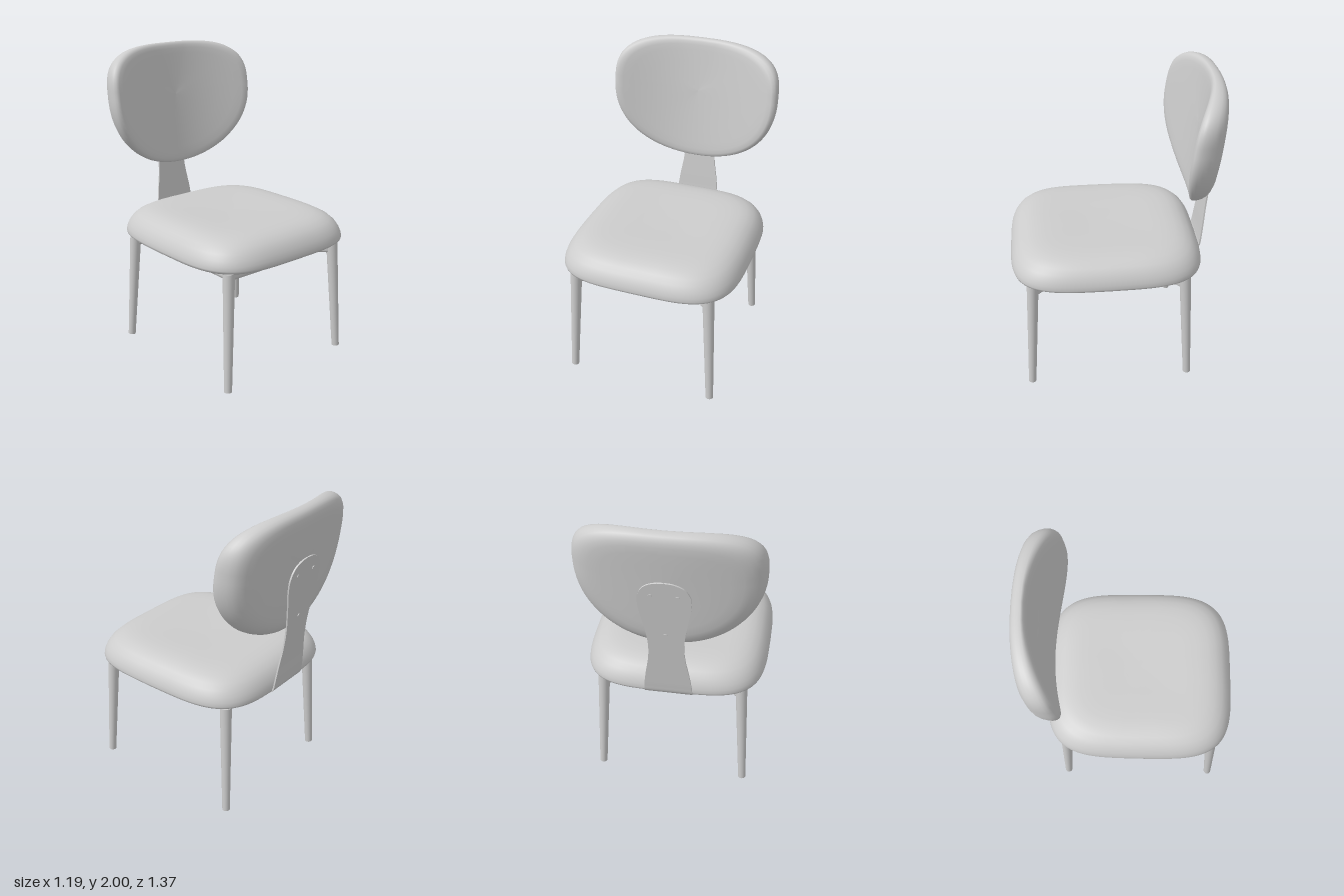
import * as THREE from 'three';
import { toCreasedNormals } from 'three/addons/utils/BufferGeometryUtils.js';
import { RoundedBoxGeometry } from 'three/addons/geometries/RoundedBoxGeometry.js';

// Skin a list of closed rings (each an array of [x, y, z]) into one surface
function loft(rings) {
  const n = rings[0].length, index = [];
  for (let i = 0; i < rings.length - 1; i++) {
    for (let j = 0; j < n; j++) {
      const k = (j + 1) % n, a = i * n, b = a + n;
      index.push(a + j, b + j, a + k, a + k, b + j, b + k);
    }
  }
  const geo = new THREE.BufferGeometry();
  geo.setAttribute('position', new THREE.Float32BufferAttribute(rings.flat(2), 3));
  geo.setIndex(index);
  geo.computeVertexNormals();
  return geo;
}

const SIDES = 96;
const angles = Array.from({ length: SIDES }, (_, i) => (i / SIDES) * Math.PI * 2);
const power = (v, n) => Math.sign(v) * Math.abs(v) ** (2 / n);

// Seat cushion: squarish rings, flat below, domed above with a slight dip
function seatGeometry() {
  const profile = [
    [0.001, 0.778], [0.5, 0.778], [0.93, 0.778], [0.975, 0.782], [0.995, 0.792], [1, 0.805],
    [0.993, 0.83], [0.975, 0.86], [0.94, 0.895], [0.89, 0.925], [0.82, 0.948], [0.74, 0.96],
    [0.64, 0.966], [0.5, 0.966], [0.3, 0.962], [0.15, 0.96], [0.001, 0.959],
  ];
  return loft(profile.map(([s, y]) => angles.map((a) => {
    const z = power(Math.sin(a), 3.9);
    const x = power(Math.cos(a), 3.9) * (1 + 0.015 * Math.min(z, 0));
    return [0.597 * s * x, y, 0.057 + 0.628 * s * z];
  })));
}

// Backrest: rounded outline, curved round the sitter, fuller towards the rear
function backrestGeometry() {
  const outline = (a) => {
    const up = Math.sin(a) > 0, n = up ? 3.3 : 2.1;
    return [0.573 * power(Math.cos(a), n), 1.68 + (up ? 0.32 : 0.5) * power(Math.sin(a), n)];
  };
  const front = (x, y) => -0.485 - 0.14 * (y - 1.18) + 0.5 * x * x;
  const back = (x, y) => -0.61 - 0.107 * (y - 1.2) + 0.2 * x * x;
  // [outline scale, drop from front face to seam, blend from seam to back face]
  const steps = [
    [0.001, 0, 0], [0.2, 0, 0], [0.4, 0, 0], [0.6, 0, 0], [0.78, 0, 0], [0.88, 0.03, 0],
    [0.94, 0.15, 0], [0.975, 0.4, 0], [0.992, 0.7, 0], [1, 1, 0], [0.997, 1, 0.2],
    [0.985, 1, 0.42], [0.96, 1, 0.63], [0.92, 1, 0.79], [0.86, 1, 0.91], [0.78, 1, 0.98],
    [0.66, 1, 1], [0.45, 1, 1], [0.2, 1, 1], [0.001, 1, 1],
  ];
  return loft(steps.map(([s, drop, blend]) => angles.map((a) => {
    const [ox, oy] = outline(a);
    const x = ox * s, y = 1.65 + (oy - 1.65) * s;
    const seam = front(x, y) - drop * (0.02 + 0.16 * x * x);
    return [x, y, THREE.MathUtils.lerp(seam, back(x, y), blend)];
  })));
}

// Depth of the leaning support plate at a given height
const plateZ = (y) => -0.58 - 0.115 * (y - 0.82);

// Support plate: a bent strip whose half width follows the x of the curve
function plateGeometry() {
  const upright = [
    [0.001, 1.697], [0.06, 1.69], [0.12, 1.66], [0.155, 1.6], [0.157, 1.52], [0.13, 1.37],
    [0.11, 1.22], [0.114, 1.1], [0.135, 0.97], [0.15, 0.85],
  ].map(([w, y]) => new THREE.Vector3(w, y, plateZ(y)));
  const foot = [[0.806, -0.575], [0.782, -0.555], [0.773, -0.52], [0.773, -0.43], [0.773, -0.33]]
    .map(([y, z]) => new THREE.Vector3(0.152, y, z));
  const curve = new THREE.CatmullRomCurve3([...upright, ...foot]);
  const rings = [];
  for (let i = 0; i <= 110; i++) {
    const p = curve.getPoint(i / 110), t = curve.getTangent(i / 110);
    const k = 0.005 / Math.hypot(t.y, t.z), ny = t.z * k, nz = -t.y * k;
    rings.push([
      [p.x, p.y + ny, p.z + nz], [p.x, p.y - ny, p.z - nz],
      [-p.x, p.y - ny, p.z - nz], [-p.x, p.y + ny, p.z + nz],
    ]);
  }
  const end = curve.getPoint(1);
  rings.push(Array.from({ length: 4 }, () => [0, end.y, end.z]));
  return toCreasedNormals(loft(rings), 0.6);
}

export function createModel() {
  const model = new THREE.Group();
  model.name = 'chair';
  const grey = new THREE.MeshStandardMaterial({ color: 0xcccccc });
  grey.name = 'light grey';

  const add = (name, geometry, x = 0, y = 0, z = 0) => {
    const mesh = new THREE.Mesh(geometry, grey);
    mesh.name = name;
    mesh.position.set(x, y, z);
    model.add(mesh);
    return mesh;
  };

  add('seatCushion', seatGeometry());
  add('backrest', backrestGeometry());
  add('supportPlate', plateGeometry());

  // Screws on the rear of the support plate
  for (const [x, y] of [[-0.08, 1.6], [0.08, 1.6], [0, 1.3]]) {
    const screw = add('screw', new THREE.CylinderGeometry(0.012, 0.012, 0.016, 16), x, y, plateZ(y) - 0.001);
    screw.rotation.x = Math.PI / 2 - 0.115;
  }

  // Legs: tapered and splayed, each tied to the frame by a diagonal stub
  const up = new THREE.Vector3(0, 1, 0);
  const railX = 0.375, railFront = 0.47, railBack = -0.36;
  for (const side of [-1, 1]) {
    for (const [place, topZ, footZ, railZ] of [['front', 0.547, 0.585, railFront], ['back', -0.433, -0.47, railBack]]) {
      const foot = new THREE.Vector3(side * 0.488, 0, footZ);
      const top = new THREE.Vector3(side * 0.45, 0.772, topZ);
      const axis = top.clone().sub(foot);
      const leg = add(place + 'Leg', new THREE.CylinderGeometry(0.038, 0.025, axis.length(), 28));
      leg.position.copy(foot).addScaledVector(axis, 0.5);
      leg.quaternion.setFromUnitVectors(up, axis.normalize());

      const dx = top.x - side * railX, dz = topZ - railZ;
      const stub = add('cornerStub', new RoundedBoxGeometry(0.05, 0.09, Math.hypot(dx, dz) + 0.04, 4, 0.02),
        side * railX + dx / 2, 0.727, railZ + dz / 2);
      stub.rotation.y = Math.atan2(dx, dz);
    }
    // Side rail of the frame
    add('sideRail', new RoundedBoxGeometry(0.06, 0.094, railFront - railBack + 0.06, 4, 0.026),
      side * railX, 0.727, (railFront + railBack) / 2);
  }

  // Front and back rails of the frame
  for (const [name, z] of [['frontRail', railFront], ['backRail', railBack]]) {
    add(name, new RoundedBoxGeometry(railX * 2 + 0.06, 0.094, 0.06, 4, 0.026), 0, 0.727, z);
  }

  return model;
}
